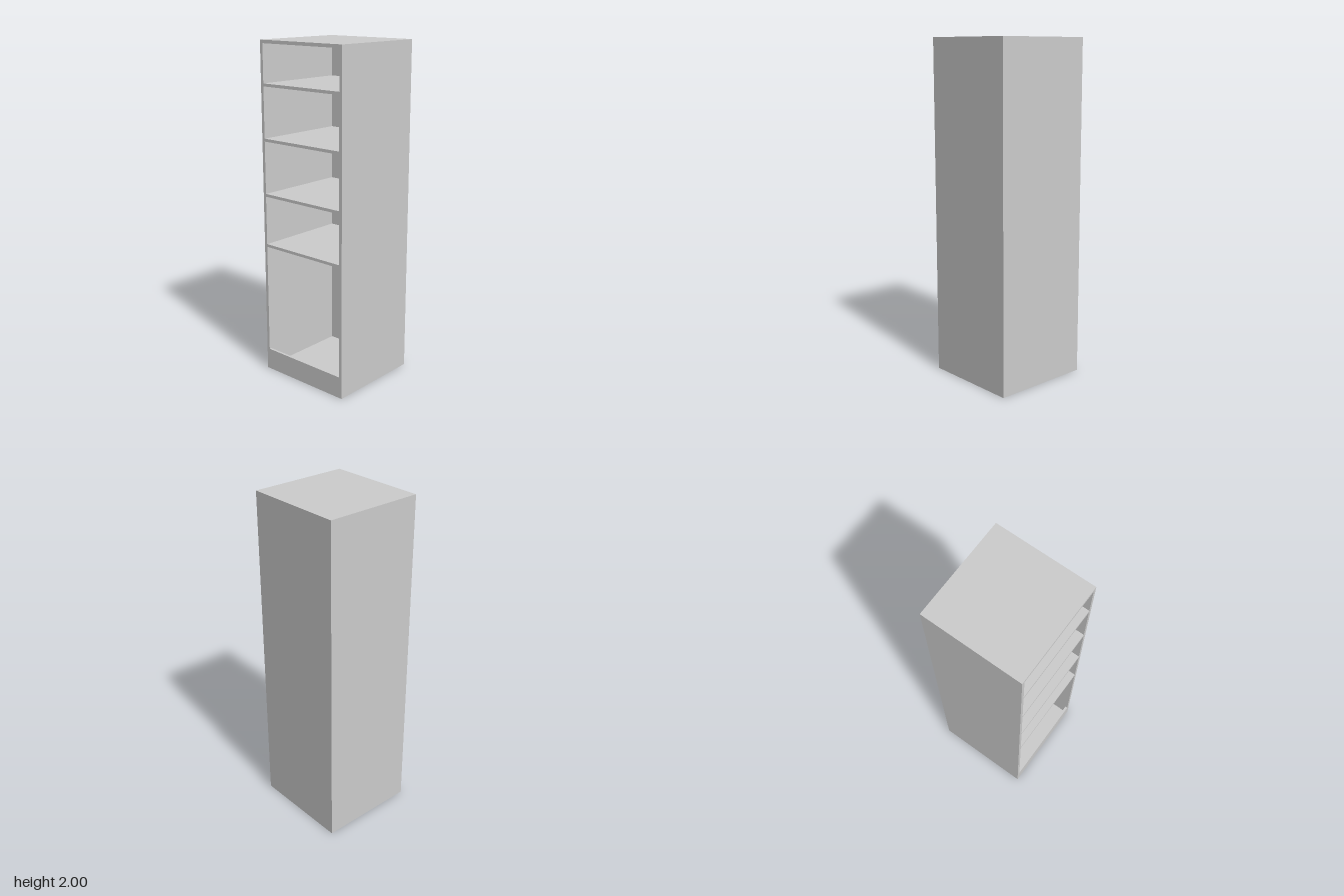
import * as THREE from 'three';

export function createModel() {
  const group = new THREE.Group();
  group.name = 'openShelfCabinet';
  const material = new THREE.MeshStandardMaterial({ color: 0xcccccc });

  const W = 0.608, H = 2, D = 0.596, T = 0.019; // overall size and board thickness
  const innerW = W - 2 * T;

  // board given by its size and the centre of its underside
  const board = (name, w, h, d, x, y, z) => {
    const mesh = new THREE.Mesh(new THREE.BoxGeometry(w, h, d), material);
    mesh.name = name;
    mesh.position.set(x, y + h / 2, z);
    group.add(mesh);
  };

  // full-height sides
  for (const [name, s] of [['leftSide', 1], ['rightSide', -1]])
    board(name, T, H, D, s * (W - T) / 2, 0, 0);

  // top, floor and back fit between the sides
  board('top', innerW, T, D, 0, H - T, 0);
  board('floor', innerW, T, D, 0, 0, 0);
  board('back', innerW, H - 2 * T, T, 0, T, -(D - T) / 2);

  // low front rail standing on the floor
  board('frontRail', innerW, 0.13 - T, 0.015, 0, T, (D - 0.015) / 2);

  // shelves, from the back panel to the front edge
  [0.792, 1.1, 1.427, 1.742].forEach((y, i) =>
    board('shelf' + (i + 1), innerW, 0.017, D - T, 0, y, T / 2));

  return group;
}
